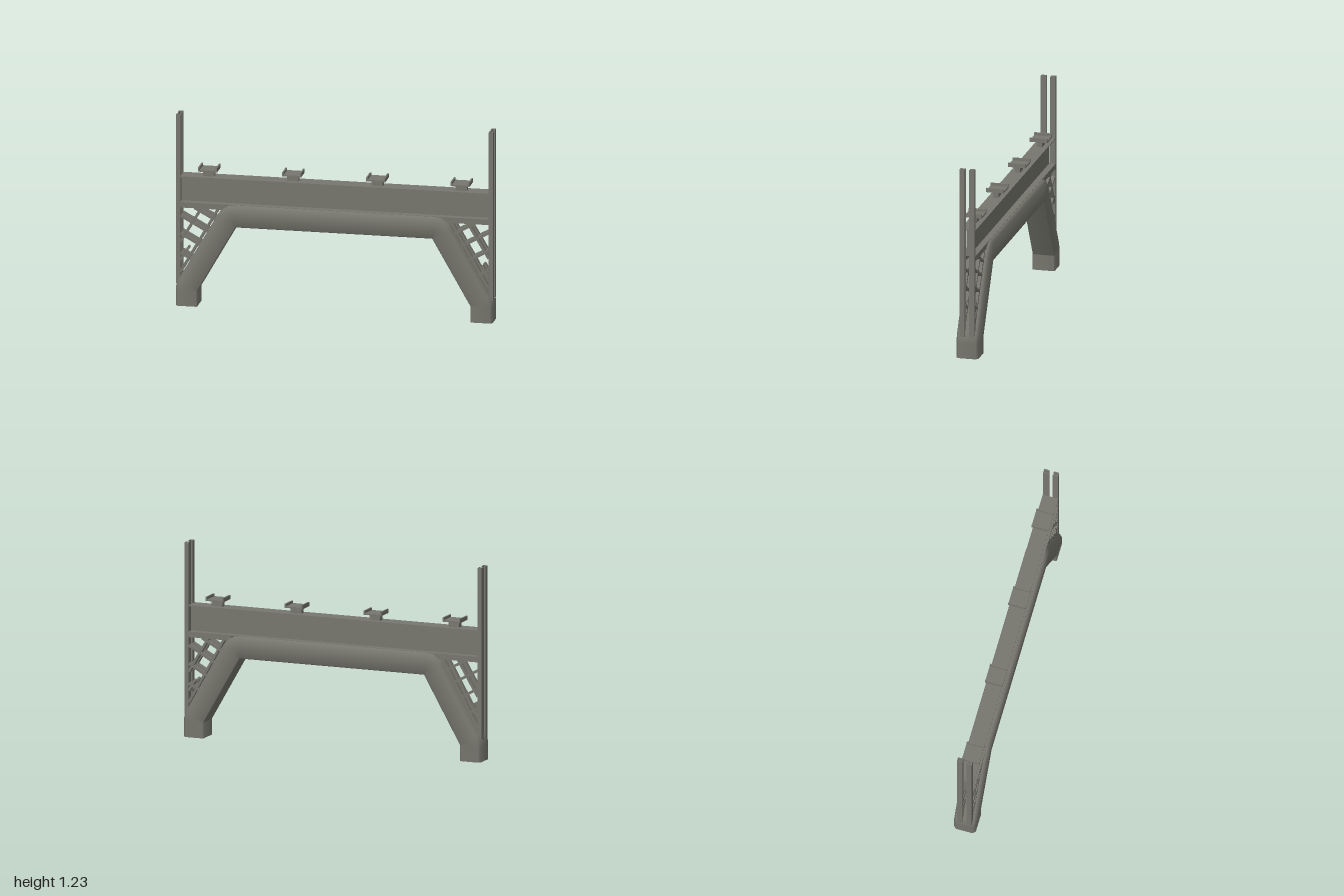
import * as THREE from 'three';

const steel = new THREE.MeshStandardMaterial({ color: 0x77776e, side: THREE.DoubleSide });
steel.name = 'greySteel';

function add(parent, name, geometry, x = 0, y = 0, z = 0) {
  const mesh = new THREE.Mesh(geometry, steel);
  mesh.name = name;
  mesh.position.set(x, y, z);
  parent.add(mesh);
  return mesh;
}

const box = (parent, name, w, h, d, x, y, z) =>
  add(parent, name, new THREE.BoxGeometry(w, h, d), x, y, z);

// Flat bar in the xy plane between two points
function bar(parent, name, [x1, y1], [x2, y2], width, depth, z) {
  const length = Math.hypot(x2 - x1, y2 - y1);
  const mesh = box(parent, name, length, width, depth, (x1 + x2) / 2, (y1 + y2) / 2, z);
  mesh.rotation.z = Math.atan2(y2 - y1, x2 - x1);
}

// Bent square tube: cross-sections turn around the inner corner of every bend
function archGeometry() {
  const H = 0.137, W = 0.07, o = 0.016, i = 0.005;
  // Cross-section (outward, z) with small chamfers
  const section = [
    [i, -W], [H - o, -W], [H, -W + o], [H, W - o],
    [H - o, W], [i, W], [0, W - i], [0, -W + i],
  ];
  const n = section.length;
  const edge = (k) => {
    const a = section[(k + n) % n], b = section[(k + 1) % n];
    return new THREE.Vector2(b[1] - a[1], a[0] - b[0]).normalize();
  };
  const normals = section.map((_, k) => edge(k - 1).add(edge(k)).normalize());

  // Frames: pivot x, pivot y, outward angle
  const frames = [[-0.863, 0, 180]];
  const bend = (x, y, from, to, steps) => {
    for (let s = 0; s <= steps; s++) frames.push([x, y, from + ((to - from) * s) / steps]);
  };
  bend(-0.863, 0.1, 180, 150.5, 5);
  bend(-0.62, 0.525, 150.5, 90, 8);
  bend(0.62, 0.525, 90, 29.5, 8);
  bend(0.863, 0.1, 29.5, 0, 5);
  frames.push([0.863, 0, 0]);

  const pos = [], nor = [], idx = [];
  frames.forEach(([px, py, deg], f) => {
    const a = THREE.MathUtils.degToRad(deg), c = Math.cos(a), s = Math.sin(a);
    section.forEach(([u, z], k) => {
      pos.push(px + c * u, py + s * u, z);
      nor.push(c * normals[k].x, s * normals[k].x, normals[k].y);
      if (f === 0) return;
      const k2 = (k + 1) % n, r0 = (f - 1) * n, r1 = f * n;
      idx.push(r0 + k, r0 + k2, r1 + k, r0 + k2, r1 + k2, r1 + k);
    });
  });
  const g = new THREE.BufferGeometry();
  g.setAttribute('position', new THREE.Float32BufferAttribute(pos, 3));
  g.setAttribute('normal', new THREE.Float32BufferAttribute(nor, 3));
  g.setIndex(idx);
  return g;
}

// Upright channel, open on its -z side
function channelGeometry(w, d, height, t) {
  const points = [
    [-w / 2, -d / 2], [-w / 2, d / 2], [w / 2, d / 2], [w / 2, -d / 2],
    [w / 2 - t, -d / 2], [w / 2 - t, d / 2 - t], [-w / 2 + t, d / 2 - t], [-w / 2 + t, -d / 2],
  ].map(([x, z]) => new THREE.Vector2(x, -z));
  const g = new THREE.ExtrudeGeometry(new THREE.Shape(points), { depth: height, bevelEnabled: false });
  return g.rotateX(-Math.PI / 2);
}

export function createModel() {
  const model = new THREE.Group();
  model.name = 'overheadGantry';

  add(model, 'archTube', archGeometry());

  // I-beam on top of the arch
  const beam = new THREE.Group();
  beam.name = 'crossBeam';
  model.add(beam);
  box(beam, 'topFlange', 1.944, 0.006, 0.1, 0, 0.827, 0);
  box(beam, 'bottomFlange', 1.944, 0.006, 0.1, 0, 0.661, 0);
  box(beam, 'web', 1.944, 0.162, 0.02, 0, 0.744, 0);

  // Paired channel posts at both ends
  const postGeometry = channelGeometry(0.028, 0.034, 1.085, 0.007);
  for (const side of [-1, 1]) {
    for (const face of [-1, 1]) {
      const post = add(model, 'post', postGeometry, side * 0.986, 0.14, face * 0.031);
      if (face < 0) post.rotation.y = Math.PI;
    }
  }

  // Lattice braces between post, beam and sloping leg
  const members = [
    [[-0.972, 0.215], [-0.735, 0.632]],
    [[-0.972, 0.335], [-0.905, 0.298]],
    [[-0.972, 0.46], [-0.845, 0.39]],
    [[-0.972, 0.575], [-0.79, 0.475]],
    [[-0.885, 0.63], [-0.755, 0.56]],
    [[-0.972, 0.41], [-0.84, 0.632]],
    [[-0.972, 0.29], [-0.93, 0.36]],
  ];
  for (const side of [-1, 1]) {
    const brace = new THREE.Group();
    brace.name = side < 0 ? 'rightBrace' : 'leftBrace';
    model.add(brace);
    for (const z of [-0.031, 0.031]) {
      for (const [a, b] of members) {
        bar(brace, 'braceBar', [-side * a[0], a[1]], [-side * b[0], b[1]], 0.016, 0.03, z);
      }
      box(brace, 'topChord', 0.29, 0.03, 0.034, side * 0.827, 0.643, z);
    }
  }

  // Four saddles standing on the beam
  for (let k = 0; k < 4; k++) {
    const saddle = new THREE.Group();
    saddle.name = 'saddle';
    saddle.position.set(-0.8 + k * 0.531, 0.83, 0);
    model.add(saddle);
    box(saddle, 'saddleBlock', 0.072, 0.04, 0.034, 0, 0.02, 0);
    box(saddle, 'saddlePlate', 0.118, 0.01, 0.112, 0, 0.043, 0);
    for (const s of [-1, 1]) box(saddle, 'saddleLip', 0.01, 0.026, 0.112, s * 0.055, 0.051, 0);
  }
  return model;
}
